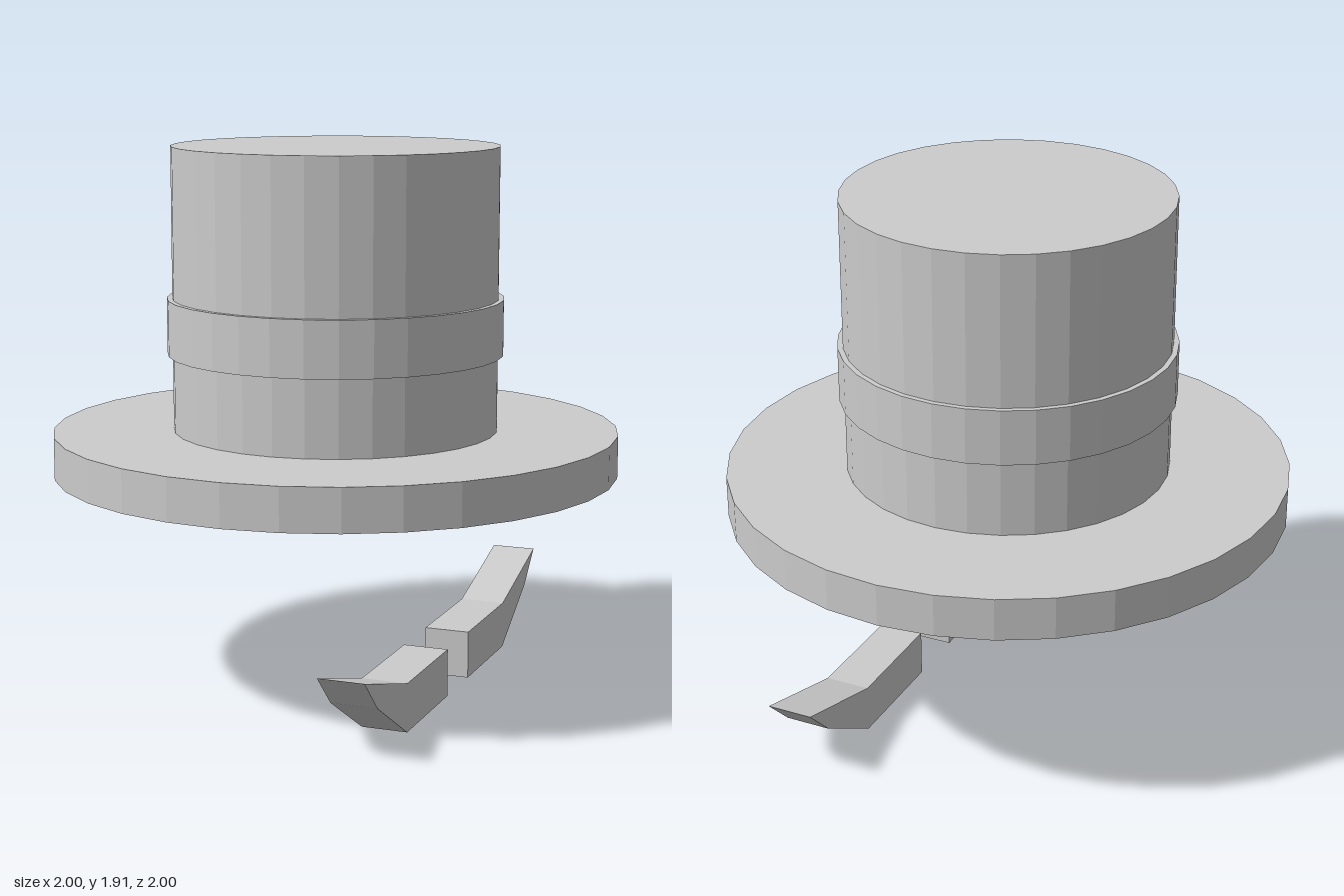
import * as THREE from 'three';

const SIDES = 32;
const material = new THREE.MeshStandardMaterial({ color: 0xcccccc, flatShading: true });

// Upright disc from height y0 to y1
function disc(name, radius, y0, y1) {
  const mesh = new THREE.Mesh(new THREE.CylinderGeometry(radius, radius, y1 - y0, SIDES), material);
  mesh.name = name;
  mesh.position.y = (y0 + y1) / 2;
  return mesh;
}

// One half of the moustache: a (z, y) profile extruded along x; side is +1 front, -1 back
function moustacheHalf(name, side) {
  const profile = [[0.115, 0], [0.535, 0], [0.82, 0.17], [0.938, 0.287], [0.535, 0.17], [0.115, 0.17]];
  const shape = new THREE.Shape(profile.map(([z, y]) => new THREE.Vector2(side * z, y)));
  const geometry = new THREE.ExtrudeGeometry(shape, { depth: 0.162, bevelEnabled: false });
  geometry.rotateY(-Math.PI / 2).translate(0.467, 0, 0);
  const mesh = new THREE.Mesh(geometry, material);
  mesh.name = name;
  return mesh;
}

export function createModel() {
  const model = new THREE.Group();
  model.name = 'hatAndMoustache';

  // Top hat
  const hat = new THREE.Group();
  hat.name = 'hat';
  hat.add(
    disc('brim', 1, 0.76, 0.91),
    disc('crown', 0.575, 0.91, 1.908),
    disc('hatBand', 0.594, 1.18, 1.377),
  );

  // Moustache, two mirrored halves with a gap
  const moustache = new THREE.Group();
  moustache.name = 'moustache';
  moustache.add(moustacheHalf('frontMoustacheHalf', 1), moustacheHalf('backMoustacheHalf', -1));

  model.add(hat, moustache);
  return model;
}
